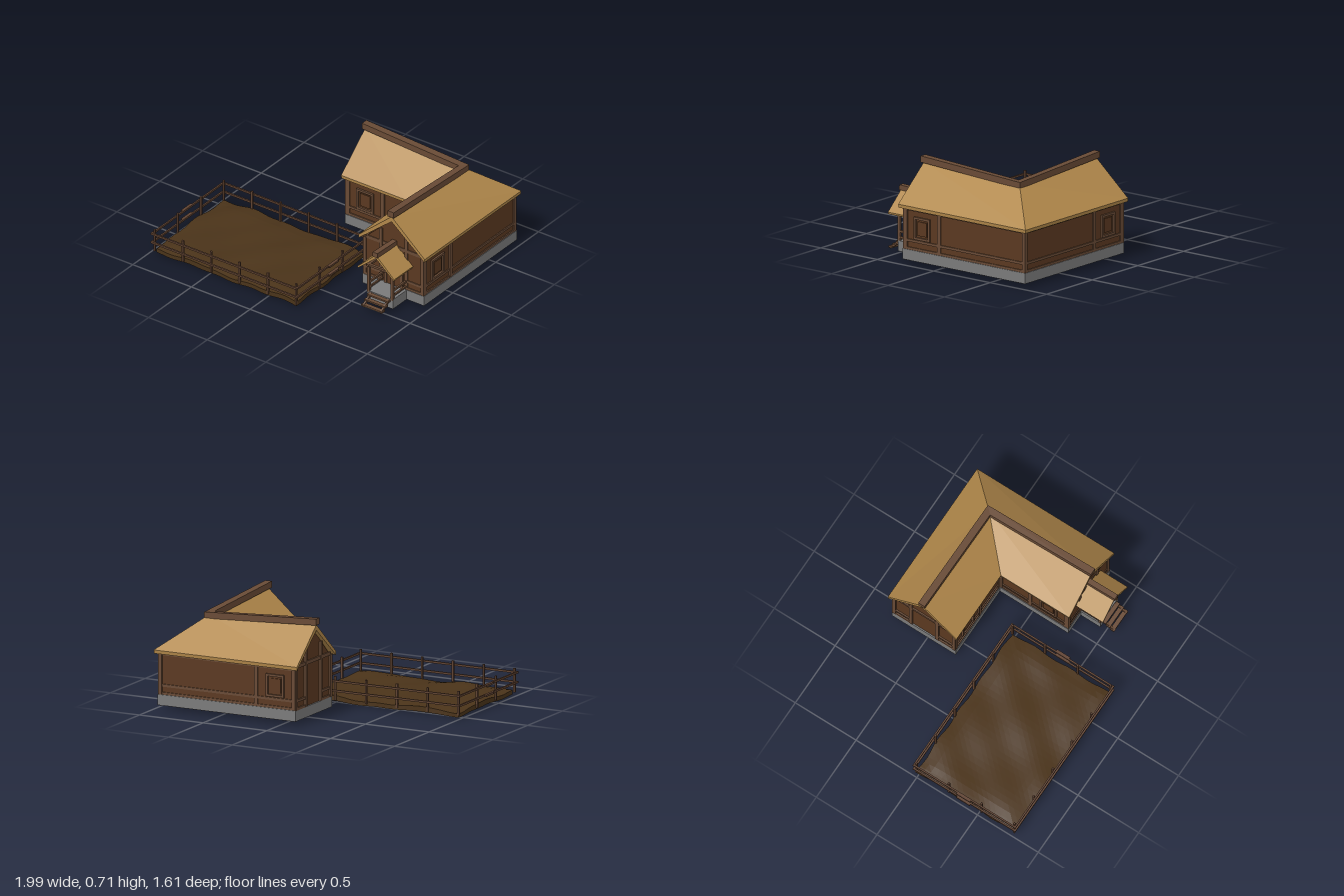
import * as THREE from 'three';

const mat = (color) => new THREE.MeshStandardMaterial({ color, flatShading: true });
const M = {
  thatch: mat(0xb0874a), wall: mat(0x5a3820), beam: mat(0x684a35),
  stone: mat(0x7a7a7a), soil: mat(0x4a3319), fence: mat(0x5e4130), floor: mat(0x3d281a),
};
const CX = 0.71, CZ = -0.525; // corner where the two ridges meet
const END_X = -0.1, END_Z = 0.29; // gable walls of the two wings

function add(parent, name, geometry, material) {
  const mesh = new THREE.Mesh(geometry, material);
  mesh.name = name;
  parent.add(mesh);
  return mesh;
}

// Box given by its min and max on each axis
function box(parent, name, material, [x0, x1], [y0, y1], [z0, z1]) {
  const mesh = add(parent, name, new THREE.BoxGeometry(x1 - x0, y1 - y0, z1 - z0), material);
  mesh.position.set((x0 + x1) / 2, (y0 + y1) / 2, (z0 + z1) / 2);
  return mesh;
}

// Sweeps a counter-clockwise profile of [offset, height] around the L plan with a mitred corner.
// over: overhang past the gable walls, lift: rise of the ridge points towards the gables
function sweepL(parent, name, material, profile, over, lift = 0) {
  const up = (d) => (Math.abs(d) < 0.05 ? lift : 0);
  const rings = [
    profile.map(([d, y]) => [END_X - over, y + up(d), CZ - d]),
    profile.map(([d, y]) => [CX + d, y, CZ - d]),
    profile.map(([d, y]) => [CX + d, y + up(d), END_Z + over]),
  ];
  const pos = [];
  const tri = (a, b, c) => pos.push(...a, ...b, ...c);
  const n = profile.length;
  for (let k = 0; k < 2; k++) {
    const a = rings[k], b = rings[k + 1];
    for (let i = 0; i < n; i++) {
      const j = (i + 1) % n;
      tri(a[i], a[j], b[j]);
      tri(a[i], b[j], b[i]);
    }
  }
  // gable end caps
  const pts = profile.map(([d, y]) => new THREE.Vector2(d, y));
  for (const [i, j, k] of THREE.ShapeUtils.triangulateShape(pts, [])) {
    const ccw = THREE.ShapeUtils.area([pts[i], pts[j], pts[k]]) > 0;
    const [p, q] = ccw ? [j, k] : [k, j];
    tri(rings[2][i], rings[2][p], rings[2][q]);
    tri(rings[0][i], rings[0][q], rings[0][p]);
  }
  const g = new THREE.BufferGeometry();
  g.setAttribute('position', new THREE.Float32BufferAttribute(pos, 3));
  g.computeVertexNormals();
  return add(parent, name, g, material);
}

const rect = (h, y0, y1) => [[-h, y0], [h, y0], [h, y1], [-h, y1]];

// Timber frame and windows of one wing; the wing runs along local +z, outer is the side of the hip
function wingTimber(outer) {
  const g = new THREE.Group();
  g.name = 'wingTimber';
  const L = 0.813, h = 0.25, t = 0.01;
  for (const s of [-1, 1]) {
    const across = [s * h - t, s * h + t];
    const start = s === outer ? -h - t : h;
    for (const z of [L - 0.012, 0.505, start + 0.014])
      box(g, 'wallPost', M.beam, across, [0.11, 0.405], [z - 0.014, z + 0.014]);
    for (const y of [0.118, 0.175, 0.397])
      box(g, 'wallRail', M.beam, [s * h - t * 0.8, s * h + t * 0.8], [y - 0.009, y + 0.009], [start, L]);
    // window
    const zc = 0.655, x = [s * h - 0.014, s * h + 0.014];
    for (const e of [-1, 1]) {
      box(g, 'windowJamb', M.beam, x, [0.19, 0.35], [zc + e * 0.063 - 0.008, zc + e * 0.063 + 0.008]);
      box(g, 'windowRail', M.beam, x, [0.27 + e * 0.072 - 0.008, 0.27 + e * 0.072 + 0.008], [zc - 0.07, zc + 0.07]);
    }
    box(g, 'windowShutter', M.wall, [s * h - 0.008, s * h + 0.008], [0.22, 0.32], [zc - 0.042, zc + 0.042]);
    // gable posts
    for (const [d, top] of [[0.246, 0.41], [0.108, 0.53]])
      box(g, 'gablePost', M.beam, [s * d - 0.013, s * d + 0.013], [0.11, top], [L - t, L + t]);
    for (const y of [0.118, 0.175])
      box(g, 'gableRail', M.beam, s > 0 ? [0.1, h] : [-h, -0.1], [y - 0.009, y + 0.009], [L - t, L + t * 0.8]);
  }
  box(g, 'gableBeam', M.beam, [-0.235, 0.235], [0.405, 0.43], [L - t, L + t * 0.8]);
  return g;
}

function createHouse() {
  const g = new THREE.Group();
  g.name = 'house';
  sweepL(g, 'foundation', M.stone, rect(0.263, 0.035, 0.11), 0.01);
  sweepL(g, 'floorUnderside', M.floor, rect(0.255, 0.032, 0.06), 0.002);
  sweepL(g, 'walls', M.wall, [[-0.25, 0.1], [0.25, 0.1], [0.25, 0.405], [0, 0.625], [-0.25, 0.405]], 0, 0.015);
  sweepL(g, 'thatchRoof', M.thatch,
    [[-0.28, 0.4], [0, 0.61], [0.28, 0.4], [0.283, 0.425], [0, 0.65], [-0.283, 0.425]], 0.03, 0.02);
  sweepL(g, 'ridgeBeam', M.beam, rect(0.026, 0.625, 0.67), 0.04, 0.045);
  const front = wingTimber(1), back = wingTimber(-1);
  back.rotation.y = -Math.PI / 2;
  for (const wing of [front, back]) {
    wing.position.set(CX, 0, CZ);
    g.add(wing);
  }
  return g;
}

function createPorch() {
  const g = new THREE.Group();
  g.name = 'porch';
  g.position.x = CX + 0.005;
  box(g, 'porchBase', M.stone, [-0.11, 0.11], [0.035, 0.11], [0.28, 0.46]);
  box(g, 'door', M.wall, [-0.06, 0.06], [0.11, 0.31], [0.28, 0.301]);
  box(g, 'doorLintel', M.beam, [-0.075, 0.075], [0.3, 0.32], [0.28, 0.306]);
  box(g, 'porchCrossBeam', M.beam, [-0.115, 0.115], [0.308, 0.324], [0.442, 0.462]);
  for (const s of [-1, 1]) {
    const bar = (name, x, r, y, z) => box(g, name, M.beam, [s * x - r, s * x + r], y, z);
    bar('doorJamb', 0.068, 0.009, [0.11, 0.31], [0.28, 0.306]);
    bar('porchPost', 0.1, 0.009, [0.1, 0.32], [0.443, 0.461]);
    bar('porchPlate', 0.1, 0.009, [0.308, 0.324], [0.29, 0.47]);
    bar('porchRailTop', 0.1, 0.007, [0.168, 0.183], [0.29, 0.45]);
    bar('porchRailLow', 0.1, 0.006, [0.128, 0.14], [0.29, 0.45]);
    const stringer = bar('stairStringer', 0.075, 0.007, [0.06, 0.078], [0.45, 0.565]);
    stringer.rotation.x = 0.56;
  }
  [[0.095, 0.475], [0.07, 0.508], [0.046, 0.542]].forEach(([y, z]) =>
    box(g, 'stairTread', M.beam, [-0.09, 0.09], [y - 0.006, y + 0.006], [z - 0.016, z + 0.016]));
  // small gabled roof
  const roof = new THREE.Shape([[-0.152, 0.298], [0, 0.428], [0.152, 0.298], [0.156, 0.312], [0, 0.456], [-0.156, 0.312]]
    .map(([x, y]) => new THREE.Vector2(x, y)));
  add(g, 'porchRoof', new THREE.ExtrudeGeometry(roof, { depth: 0.225, bevelEnabled: false }), M.thatch).position.z = 0.285;
  const ridge = box(g, 'porchRidgeBeam', M.beam, [-0.02, 0.02], [0.438, 0.474], [0.29, 0.52]);
  ridge.rotation.x = -0.04;
  return g;
}

// Uneven bed of earth
function createSoil() {
  const W = 1.2, D = 0.8, geo = new THREE.BoxGeometry(W, 1, D, 28, 1, 18);
  const p = geo.attributes.position;
  for (let i = 0; i < p.count; i++) {
    const x = p.getX(i), z = p.getZ(i);
    const edge = Math.min(1, Math.min(W / 2 - Math.abs(x), D / 2 - Math.abs(z)) / 0.1);
    const wave = Math.sin(x * 9 + 1) * Math.cos(z * 8) * 0.5 + Math.sin(x * 17 + z * 13) * 0.25;
    const y = p.getY(i) > 0 ? 0.04 + 0.012 * edge + 0.016 * wave : 0.008 + 0.008 * wave * (1 - edge * 0.5);
    p.setXYZ(i, x + 0.006 * Math.sin(z * 21) * (1 - edge), Math.max(0, y), z + 0.006 * Math.sin(x * 23) * (1 - edge));
  }
  geo.computeVertexNormals();
  const mesh = new THREE.Mesh(geo, M.soil);
  mesh.name = 'soilBed';
  mesh.position.set(-0.366, 0, 0.38);
  return mesh;
}

function createFence() {
  const g = new THREE.Group();
  g.name = 'fence';
  const X = [-0.97, 0.237], Z = [-0.022, 0.785], r = 0.007;
  const post = (x, z) => box(g, 'fencePost', M.fence, [x - r, x + r], [0.02, 0.19], [z - r, z + r]);
  for (const z of Z) for (let i = 0; i <= 5; i++) post(X[0] + (X[1] - X[0]) * i / 5, z);
  for (const x of X) for (const z of [0.245, 0.515]) post(x, z);
  for (const y of [[0.083, 0.097], [0.152, 0.166]]) {
    for (const [z, s] of [[Z[0], -1], [Z[1], 1]])
      box(g, 'longRail', M.fence, [-0.99, 0.257], y, [z + s * 0.013 - 0.006, z + s * 0.013 + 0.006]);
    for (const [x, s] of [[X[0], -1], [X[1], 1]]) {
      const c = x + s * 0.013;
      box(g, 'sideRail', M.fence, [c - 0.006, c + 0.006], y, [-0.035, 0.8]);
      // lapped splice in the middle of each side
      box(g, 'railSplice', M.fence, [c + s * 0.011 - 0.006, c + s * 0.011 + 0.006], y, [0.325, 0.435]);
    }
  }
  return g;
}

export function createModel() {
  const model = new THREE.Group();
  model.name = 'farmhouse';
  model.add(createHouse(), createPorch(), createSoil(), createFence());
  return model;
}
